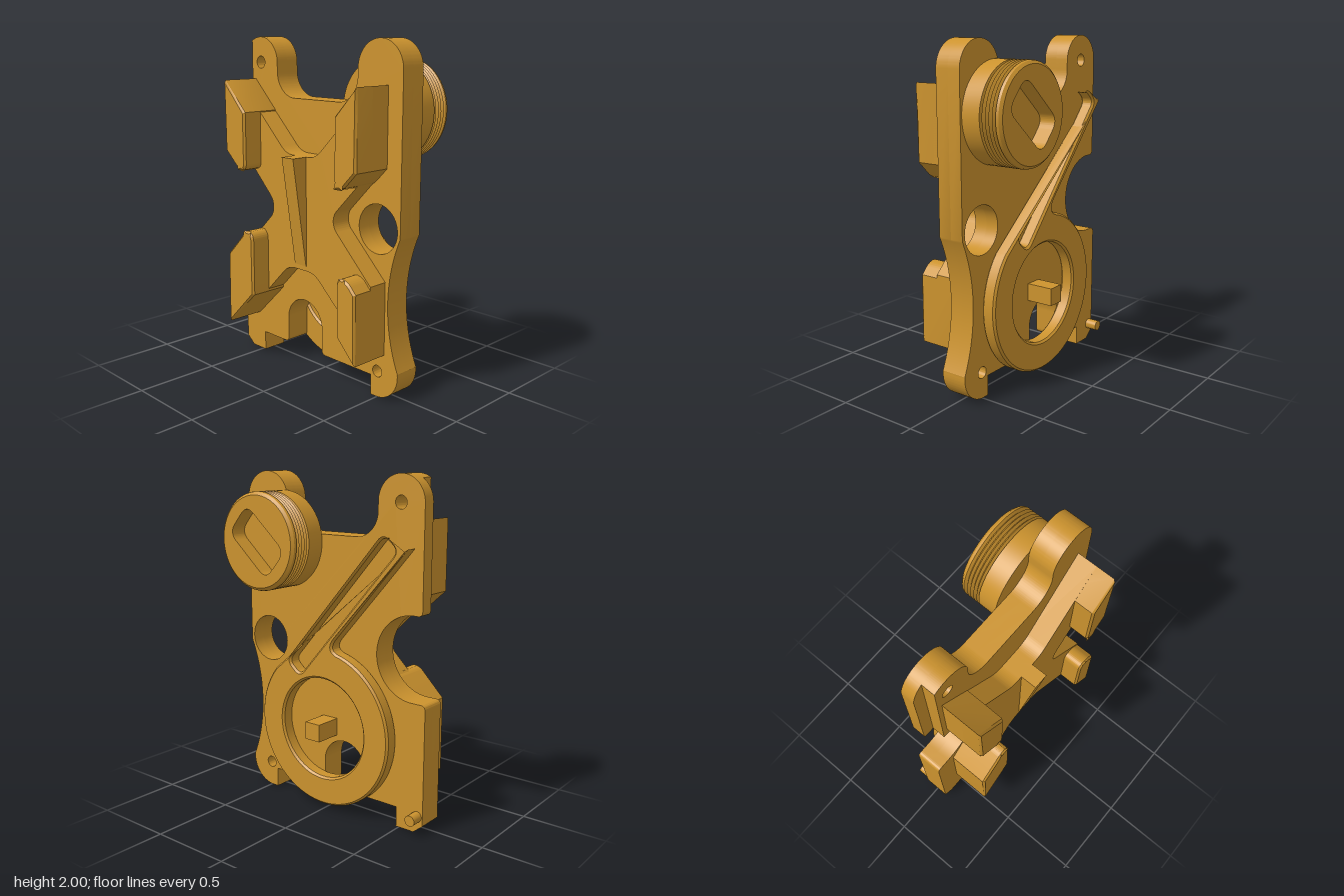
import * as THREE from 'three';
import { toCreasedNormals } from 'three/addons/utils/BufferGeometryUtils.js';

const PI = Math.PI;
const brass = new THREE.MeshStandardMaterial({ color: 0xcc932e });
brass.name = 'brass';

function add(group, name, geometry) {
  const mesh = new THREE.Mesh(toCreasedNormals(geometry, 0.5), brass);
  mesh.name = name;
  group.add(mesh);
  return mesh;
}

// Extrude a shape between two z values, with an optional chamfer
function slab(shape, z0, z1, chamfer = 0) {
  const geometry = new THREE.ExtrudeGeometry(shape, {
    depth: z1 - z0 - 2 * chamfer, curveSegments: 32,
    bevelEnabled: chamfer > 0, bevelThickness: chamfer, bevelSize: chamfer,
    bevelOffset: -chamfer, bevelSegments: 1,
  });
  return geometry.translate(0, 0, z0 + chamfer);
}

// Polygon of [x, y, cornerRadius]
function roundedPoly(points, Type = THREE.Shape) {
  const path = new Type();
  const n = points.length;
  points.forEach(([x, y, r = 0], i) => {
    const p = new THREE.Vector2(x, y);
    const toward = (q) => new THREE.Vector2(q[0], q[1]).sub(p).setLength(r).add(p);
    const a = toward(points[(i + n - 1) % n]);
    const b = toward(points[(i + 1) % n]);
    if (i === 0) path.moveTo(a.x, a.y); else path.lineTo(a.x, a.y);
    if (r > 0) path.quadraticCurveTo(x, y, b.x, b.y);
  });
  path.closePath();
  return path;
}

const circle = (x, y, r, Type = THREE.Path) => new Type().absarc(x, y, r, 0, PI * 2, false);

// Plate outline; the front layer is cut back at the upper corner
function plateShape(cutBack) {
  const s = new THREE.Shape();
  s.moveTo(-0.6, 0);
  s.lineTo(-0.48, 0);
  s.lineTo(-0.48, 0.12);
  s.lineTo(-0.28, 0.12);
  s.quadraticCurveTo(-0.25, 0.12, -0.25, 0.15);
  s.absarc(-0.1, 0.28, 0.15, PI, 0, true);
  s.lineTo(0.05, 0.15);
  s.quadraticCurveTo(0.05, 0.12, 0.08, 0.12);
  s.lineTo(0.45, 0.12);
  s.lineTo(0.45, 0);
  s.absarc(0.49, 0.16, 0.16, -PI / 2, 0.1, false);
  s.absarc(1.536, 0.565, 0.966, PI + 0.41, PI - 0.41, true);
  s.absarc(0.49, 1.84, 0.16, 0, PI, false);
  s.absarc(0.18, 1.8, 0.15, 0, -PI / 2, true);
  s.absarc(-0.18, 1.8, 0.15, -PI / 2, -PI, true);
  if (cutBack) {
    s.absarc(-0.48, 1.85, 0.15, 0, 2.133, false);
    s.absarc(-0.575, 1.005, 0.245, 1.51, -PI / 2, true);
  } else {
    s.absarc(-0.48, 1.85, 0.15, 0, PI, false);
    s.lineTo(-0.63, 1.28);
    s.quadraticCurveTo(-0.63, 1.25, -0.6, 1.25);
    s.absarc(-0.575, 1.005, 0.245, PI / 2, -PI / 2, true);
  }
  s.lineTo(-0.63, 0.76);
  s.quadraticCurveTo(-0.66, 0.76, -0.66, 0.73);
  s.lineTo(-0.66, 0.05);
  s.closePath();
  s.holes.push(circle(0.49, 0.98, 0.14), circle(0.5, 0.155, 0.035), circle(-0.48, 1.85, 0.037));
  return s;
}

// Ring with a slotted arm running off it at a tangent
function ringAndArm() {
  const cx = 0.01, cy = 0.51, R = 0.48, width = 0.193;
  const tangent = 0.719;
  const nx = Math.cos(tangent), ny = Math.sin(tangent);
  const tip = [-0.43, 1.74];
  const joint = tangent + Math.acos((R - width) / R);
  const jx = cx + R * Math.cos(joint), jy = cy + R * Math.sin(joint);
  const s = new THREE.Shape();
  s.moveTo(...tip);
  s.absarc(cx, cy, R, tangent, joint + 0.22, true);
  s.quadraticCurveTo(jx, jy, jx - 0.1 * ny, jy + 0.1 * nx);
  s.lineTo(tip[0] - width * nx, tip[1] - width * ny);
  s.closePath();

  // Slot along the middle of the arm
  const at = (t, side) => [
    tip[0] - (width / 2 - side) * nx + t * ny,
    tip[1] - (width / 2 - side) * ny - t * nx, 0.045];
  const slot = roundedPoly([at(0.05, 0.058), at(0.05, -0.058), at(1.1, -0.058), at(1.1, 0.058)], THREE.Path);
  s.holes.push(circle(cx, cy, 0.305), slot);
  return s;
}

export function createModel() {
  const model = new THREE.Group();
  model.name = 'mountingBracket';

  // Main plate in two layers
  add(model, 'plateBack', slab(plateShape(false), -0.08, 0));
  add(model, 'plateFront', slab(plateShape(true), 0, 0.08));

  // Raised cross on the front
  add(model, 'crossBody', slab(roundedPoly([
    [-0.53, 0.25], [-0.11, 0.67, 0.06], [0.11, 0.67, 0.06], [0.55, 0.27],
    [0.55, 0.69], [0.265, 0.97, 0.04], [0.265, 1.04, 0.04], [0.55, 1.33],
    [0.55, 1.76], [0.12, 1.34, 0.06], [-0.12, 1.34, 0.06], [-0.53, 1.74],
    [-0.53, 1.34], [-0.24, 1.05, 0.04], [-0.24, 0.97, 0.04], [-0.53, 0.69],
  ]), 0.06, 0.2));

  // Four clamping pads
  const pads = {
    padUpperRight: [[-0.53, 1.75], [-0.53, 1.33], [-0.42, 1.23, 0.04], [-0.35, 1.22, 0.05], [-0.35, 1.57]],
    padUpperLeft: [[0.55, 1.76], [0.39, 1.6], [0.39, 1.22, 0.05], [0.45, 1.22, 0.04], [0.55, 1.32]],
    padLowerRight: [[-0.53, 0.245], [-0.295, 0.47], [-0.295, 0.86, 0.06], [-0.36, 0.86, 0.04], [-0.53, 0.69]],
    padLowerLeft: [[0.55, 0.265], [0.55, 0.67], [0.49, 0.735, 0.04], [0.41, 0.74, 0.05], [0.41, 0.4]],
  };
  for (const [name, points] of Object.entries(pads)) {
    // keep every outline counter-clockwise
    if (THREE.ShapeUtils.area(points.map(([x, y]) => ({ x, y }))) < 0) points.reverse();
    add(model, name, slab(roundedPoly(points), 0.06, 0.325, 0.012));
  }

  // Tapered centre rib, profile drawn in the side plane
  const rib = slab(roundedPoly([[-0.3, 1.34], [-0.1, 1.34], [-0.1, 0.7], [-0.205, 0.7]]), -0.047, 0.047);
  add(model, 'centreRib', rib.rotateY(PI / 2).scale(1, 1, 1));

  // Back ring, arm and square peg
  add(model, 'ringAndArm', slab(ringAndArm(), -0.162, -0.075, 0.012));
  const peg = add(model, 'squarePeg', new THREE.BoxGeometry(0.105, 0.105, 0.18));
  peg.position.set(0.01, 0.51, -0.155);

  // Small locating pin
  const pin = add(model, 'locatingPin', new THREE.CylinderGeometry(0.032, 0.032, 0.1, 24).rotateX(PI / 2));
  pin.position.set(-0.622, 0.1, -0.105);

  // Threaded boss, turned about z
  const boss = new THREE.Group();
  boss.name = 'threadedBoss';
  boss.position.set(0.352, 1.605, 0);
  model.add(boss);
  const profile = [[0, 0.079], [0.286, 0.079], [0.286, 0.195]];
  const teeth = 5, pitch = 0.022;
  for (let i = 0; i < teeth; i++) {
    profile.push([0.269, 0.2 + i * pitch], [0.286, 0.2 + (i + 0.5) * pitch]);
  }
  profile.push([0.282, 0.314], [0.266, 0.328]);
  add(boss, 'bossThread', new THREE.LatheGeometry(
    profile.map(([r, y]) => new THREE.Vector2(r, y)), 64).rotateX(-PI / 2));

  // Boss end with a slanted key recess
  const end = circle(0, 0, 0.266, THREE.Shape);
  const a = 0.72, c = Math.cos(a), d = Math.sin(a);
  const corners = [[-0.19, -0.11], [0.19, -0.11], [0.19, 0.11], [-0.19, 0.11]];
  end.holes.push(roundedPoly(corners.map(([u, v]) => [u * c - v * d, u * d + v * c, 0.07]), THREE.Path));
  add(boss, 'bossEnd', slab(end, -0.328, -0.22));
  const floor = add(boss, 'recessFloor', new THREE.CylinderGeometry(0.26, 0.26, 0.1, 48).rotateX(PI / 2));
  floor.position.z = -0.18;

  return model;
}
